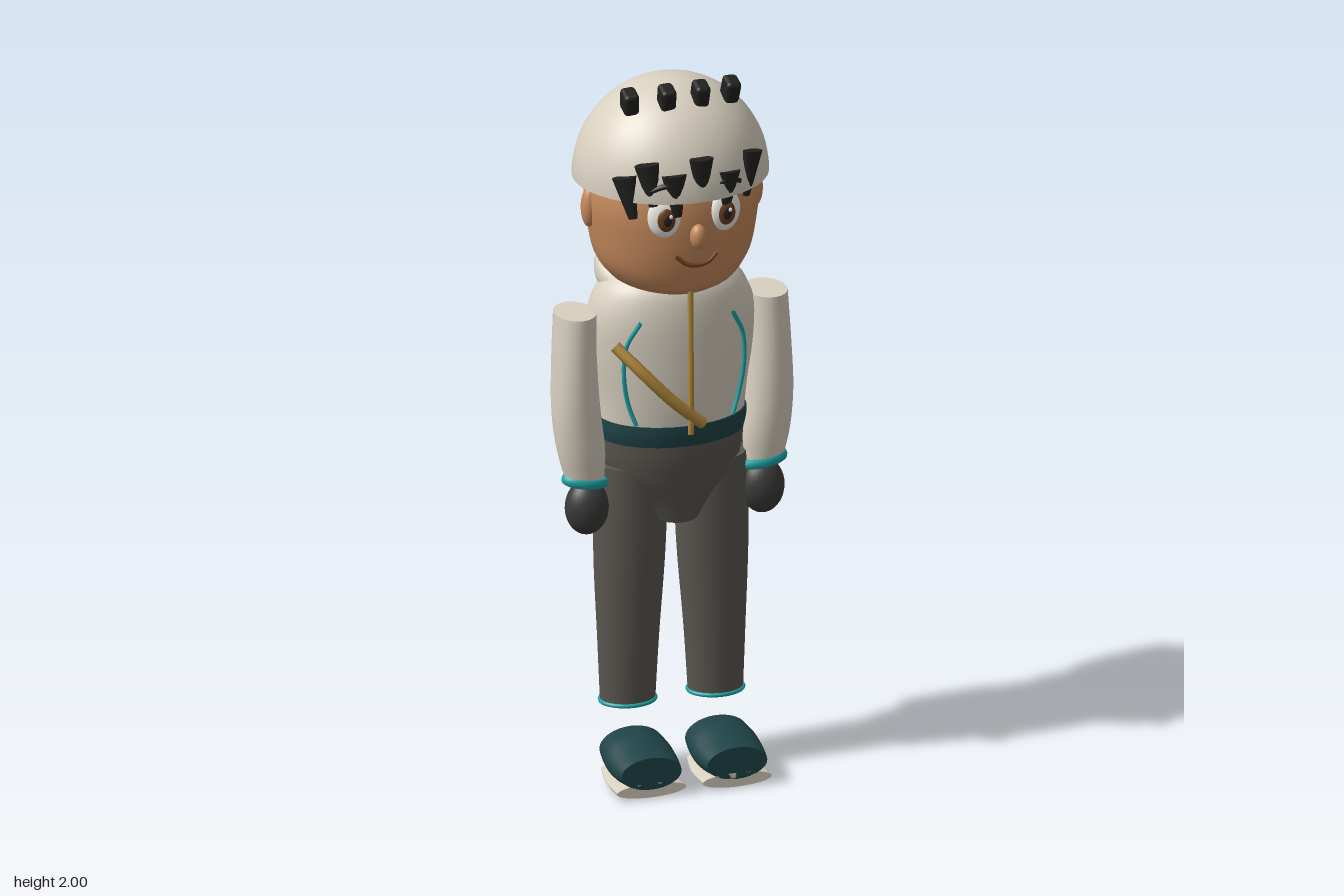
import * as THREE from 'three';
import { RoundedBoxGeometry } from 'three/addons/geometries/RoundedBoxGeometry.js';

const mat = (color) => new THREE.MeshStandardMaterial({ color, side: THREE.DoubleSide });
const cream = mat(0xd8d0c0), skin = mat(0xc68a5c), black = mat(0x222120), grey = mat(0x5a5650),
  glove = mat(0x3c3b3a), teal = mat(0x1f4347), aqua = mat(0x1fa3a6), gold = mat(0xb0883c),
  white = mat(0xf2efe8), brown = mat(0x6b3d1e);

export function createModel() {
  const model = new THREE.Group();

  function add(name, geometry, material, x = 0, y = 0, z = 0, parent = model) {
    const mesh = new THREE.Mesh(geometry, material);
    mesh.name = name;
    mesh.position.set(x, y, z);
    parent.add(mesh);
    return mesh;
  }
  const ball = (name, material, x, y, z, rx, ry, rz) => {
    const m = add(name, new THREE.SphereGeometry(1, 28, 18), material, x, y, z);
    m.scale.set(rx, ry, rz);
    return m;
  };
  const tube = (name, material, points, r) => add(name, new THREE.TubeGeometry(
    new THREE.CatmullRomCurve3(points.map((p) => new THREE.Vector3(...p))), 24, r, 8), material);

  // Capped loft through elliptical sections [y, centre x, centre z, radius x, radius z]
  function loft(sections, steps = 16, sides = 32) {
    const a = new THREE.CatmullRomCurve3(sections.map((s) => new THREE.Vector3(s[0], s[1], s[2])));
    const b = new THREE.CatmullRomCurve3(sections.map((s) => new THREE.Vector3(s[0], s[3], s[4])));
    const pos = [], idx = [];
    const ring = (t) => {
      const c = a.getPoint(t), r = b.getPoint(t);
      for (let j = 0; j < sides; j++) {
        const k = (j / sides) * Math.PI * 2;
        pos.push(c.y + Math.sin(k) * r.y, c.x, c.z + Math.cos(k) * r.z);
      }
      return c;
    };
    for (let i = 0; i <= steps; i++) ring(i / steps);
    for (let i = 0; i < steps; i++) for (let j = 0; j < sides; j++) {
      const p = i * sides + j, q = i * sides + (j + 1) % sides;
      idx.push(p, q, q + sides, p, q + sides, p + sides);
    }
    for (const t of [0, 1]) {
      const start = pos.length / 3, c = ring(t), mid = pos.length / 3;
      pos.push(c.y, c.x, c.z);
      for (let j = 0; j < sides; j++) {
        const p = start + j, q = start + (j + 1) % sides;
        if (t) idx.push(mid, p, q); else idx.push(mid, q, p);
      }
    }
    const g = new THREE.BufferGeometry();
    g.setAttribute('position', new THREE.Float32BufferAttribute(pos, 3));
    g.setIndex(idx);
    g.computeVertexNormals();
    return g;
  }

  // Head, helmet and hair
  add('head', loft([[1.41, 0, 0.02, 0.12, 0.12], [1.435, 0, 0.015, 0.165, 0.162], [1.49, 0, 0.01, 0.207, 0.188],
    [1.58, 0, 0.008, 0.228, 0.206], [1.67, 0, 0.005, 0.236, 0.212], [1.78, 0, 0, 0.215, 0.195]], 24), skin);
  const dome = new THREE.SphereGeometry(1, 40, 20, 0, Math.PI * 2, 0, Math.PI / 2);
  add('helmet', dome, cream, 0, 1.71, -0.002).scale.set(0.265, 0.272, 0.243);
  const hair = add('backHair', dome, black, 0, 1.7, -0.004);
  hair.scale.set(0.25, 0.2, 0.236);
  hair.rotation.x = -0.25;
  add('ponytail', loft([[1.52, 0.05, -0.212, 0.018, 0.015], [1.62, 0.04, -0.217, 0.045, 0.025],
    [1.72, 0.022, -0.224, 0.062, 0.033], [1.78, 0.01, -0.232, 0.045, 0.026]]), black);
  [[-0.14, 0.075, 1.955], [-0.046, 0.105, 1.966], [0.048, 0.105, 1.966], [0.143, 0.075, 1.955]].forEach(([x, z, y]) => {
    const vent = add('helmetKnob', new RoundedBoxGeometry(0.042, 0.065, 0.055, 2, 0.012), black, x, y, z);
    vent.rotation.set(0.25, 0, -x * 0.6);
  });
  // Fringe of flat downward spikes following the helmet rim: [x, top, bottom, tilt]
  [[-0.175, 1.78, 1.66, 0.2], [-0.125, 1.82, 1.7, 0.15], [-0.06, 1.79, 1.67, 0.08], [0.01, 1.83, 1.71, 0],
    [0.088, 1.78, 1.675, -0.1], [0.16, 1.815, 1.69, -0.2]].forEach(([x, top, bottom, tilt]) => {
    const spike = add('fringe', new THREE.CylinderGeometry(0.034, 0.012, top - bottom, 14), black,
      x, (top + bottom) / 2, 0.228 * Math.sqrt(1 - (x / 0.265) ** 2));
    spike.scale.z = 0.5;
    spike.rotation.set(0, x * 3, tilt);
  });

  // Face
  for (const s of [-1, 1]) {
    ball('ear', skin, s * 0.232, 1.64, 0.01, 0.022, 0.056, 0.025);
    ball('eye', white, s * 0.085, 1.665, 0.2, 0.045, 0.059, 0.022).rotation.y = s * 0.2;
    ball('iris', brown, s * 0.083, 1.662, 0.216, 0.026, 0.034, 0.012);
    ball('pupil', black, s * 0.083, 1.662, 0.224, 0.013, 0.018, 0.006);
    ball('eyeGlint', white, s * 0.083 + 0.008, 1.674, 0.229, 0.005, 0.006, 0.003);
    tube('eyebrow', black, [[s * 0.045, 1.745, 0.222], [s * 0.085, 1.76, 0.222], [s * 0.125, 1.745, 0.205]], 0.008);
  }
  ball('nose', skin, 0, 1.61, 0.233, 0.023, 0.035, 0.023);
  tube('mouth', brown, [[-0.056, 1.552, 0.216], [-0.03, 1.532, 0.224], [0, 1.526, 0.226], [0.03, 1.532, 0.224],
    [0.056, 1.552, 0.216]], 0.006);

  // Jacket with hood, belt and trims
  add('jacket', loft([[0.99, 0, 0, 0.198, 0.142], [1.1, 0, 0, 0.208, 0.155], [1.22, 0, -0.003, 0.226, 0.162],
    [1.33, 0, -0.003, 0.228, 0.16], [1.4, 0, 0, 0.2, 0.147], [1.44, 0, 0, 0.165, 0.13]], 24), cream);
  const hoodShape = new THREE.TorusGeometry(0.15, 0.046, 14, 40).rotateX(Math.PI / 2).scale(1, 1, 0.78);
  add('hood', hoodShape, cream, 0, 1.425, -0.042).rotation.x = 0.5;
  add('belt', loft([[0.975, 0, 0, 0.2, 0.144], [1.005, 0, 0, 0.207, 0.15], [1.035, 0, 0, 0.206, 0.151]], 6), teal);
  tube('zip', gold, [[0, 1.02, 0.17], [0, 1.22, 0.17], [0, 1.45, 0.165]], 0.008);
  const strap = tube('chestStrap', gold, [[-0.19, 1.27, 0.1], [-0.13, 1.205, 0.147], [-0.05, 1.12, 0.164], [0.035, 1.045, 0.163]], 0.016);
  strap.scale.z = 1.03;

  // Trousers seat
  add('hips', loft([[0.74, 0, 0.01, 0.07, 0.09], [0.8, 0, 0.005, 0.115, 0.108], [0.87, 0, 0, 0.178, 0.128],
    [0.93, 0, 0, 0.195, 0.138], [0.99, 0, 0, 0.2, 0.142]], 16), grey);

  // Limbs and trims, mirrored
  const side = Math.PI / 2;
  for (const s of [-1, 1]) {
    tube('jacketPiping', aqua, [[s * 0.13, 1.34, 0.136], [s * 0.163, 1.27, 0.118], [s * 0.168, 1.18, 0.112],
      [s * 0.155, 1.1, 0.109], [s * 0.135, 1.04, 0.116]], 0.006);
    const sleeve = loft([[0.865, s * 0.25, 0.032, 0.052, 0.037], [0.95, s * 0.259, 0.026, 0.065, 0.05],
      [1.06, s * 0.27, 0.015, 0.066, 0.063], [1.2, s * 0.272, 0.005, 0.06, 0.071], [1.34, s * 0.268, -0.002, 0.056, 0.073]], 20);
    add('sleeve', sleeve, cream);
    const cuff = add('cuff', new THREE.TorusGeometry(0.05, 0.009, 8, 32).rotateX(side), aqua, s * 0.25, 0.868, 0.032);
    cuff.scale.set(1.12, 1.6, 0.72);
    cuff.rotation.z = s * 0.15;
    ball('glove', glove, s * 0.246, 0.792, 0.034, 0.06, 0.077, 0.051);
    add('leg', loft([[0.215, s * 0.123, 0.008, 0.075, 0.062], [0.4, s * 0.121, 0.006, 0.084, 0.072],
      [0.65, s * 0.116, 0.002, 0.098, 0.084], [0.9, s * 0.11, 0, 0.1, 0.088]], 16), grey);
    const hem = add('trouserHem', new THREE.TorusGeometry(0.075, 0.006, 8, 36).rotateX(side), aqua, s * 0.123, 0.219, 0.008);
    hem.scale.z = 0.83;

    // Boots: lofts laid along z
    const upper = loft([[0.025, 0, 0.09, 0.088, 0.054], [0.08, 0, 0.081, 0.095, 0.06], [0.14, 0, 0.074, 0.094, 0.054],
      [0.2, 0, 0.073, 0.084, 0.045]], 12);
    const sole = loft([[0.015, 0, 0.028, 0.08, 0.018], [0.1, 0, 0.024, 0.096, 0.018], [0.2, 0, 0.026, 0.097, 0.02]], 10);
    for (const [name, g, m] of [['bootUpper', upper, teal], ['bootSole', sole, cream]]) {
      // Turn y into z and z into y, then restore the face order
      const p = g.attributes.position;
      for (let i = 0; i < p.count; i++) p.setXYZ(i, p.getX(i), p.getZ(i), p.getY(i));
      g.index.array.reverse();
      g.computeVertexNormals();
      add(name, g, m, s * 0.12, 0, 0);
    }
    add('solePad', new RoundedBoxGeometry(0.05, 0.012, 0.045, 2, 0.004), teal, s * 0.12, 0.008, 0.1);
  }

  // Hip bag
  const bag = new THREE.Group();
  bag.name = 'hipBag';
  bag.position.set(0.165, 0, -0.148);
  bag.rotation.y = -0.22;
  model.add(bag);
  add('bagBody', loft([[0.75, 0, 0, 0.08, 0.032], [0.77, 0, 0, 0.088, 0.038], [0.9, 0, 0, 0.096, 0.041],
    [1.01, 0, 0, 0.093, 0.036], [1.028, 0, 0, 0.085, 0.03]], 20), grey, 0, 0, 0, bag);
  add('bagBackPanel', new RoundedBoxGeometry(0.16, 0.07, 0.016, 2, 0.006), teal, 0.01, 0.965, 0.04, bag);

  return model;
}
